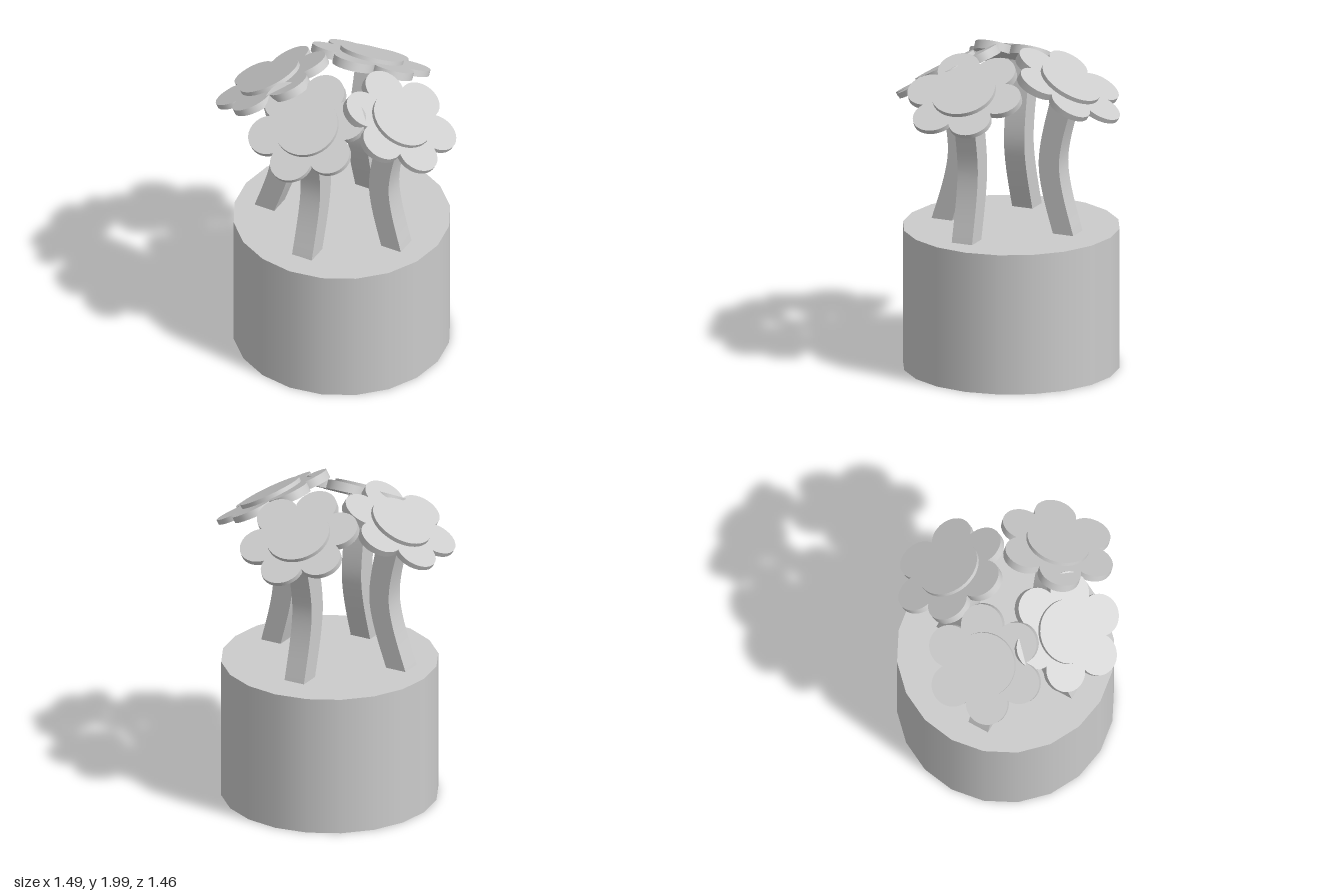
import * as THREE from 'three';
import { toCreasedNormals } from 'three/addons/utils/BufferGeometryUtils.js';

const material = new THREE.MeshStandardMaterial({ color: 0xcccccc });
const STEM_WIDTH = 0.135;
const TILT = THREE.MathUtils.degToRad(29.5);

function addMesh(parent, name, geometry) {
  const mesh = new THREE.Mesh(geometry, material);
  mesh.name = name;
  parent.add(mesh);
  return mesh;
}

// Square stem bowed towards the middle; x is the distance from the pot's axis
function stemGeometry(bottom, middle, top) {
  const h = STEM_WIDTH / 2;
  const side = (offset, endY) => [
    new THREE.Vector2(bottom + offset, 0.86),
    new THREE.Vector2(middle + offset, 1.31),
    new THREE.Vector2(top + offset, endY),
  ];
  const shape = new THREE.Shape();
  const outer = side(h, 1.75);
  const inner = side(-h, 1.81).reverse();
  shape.moveTo(outer[0].x, outer[0].y);
  shape.splineThru(outer.slice(1));
  shape.lineTo(inner[0].x, inner[0].y);
  shape.splineThru(inner.slice(1));
  const geometry = new THREE.ExtrudeGeometry(shape, {
    depth: STEM_WIDTH, bevelEnabled: false, curveSegments: 8,
  });
  geometry.translate(0, 0, -h);
  return toCreasedNormals(geometry, 0.6);
}

// Round petal, top at y = 0, a little thicker towards the middle of the plant
function petalGeometry(angle) {
  const geometry = new THREE.CylinderGeometry(0.13, 0.13, 0.04, 32);
  geometry.translate(0.238 * Math.cos(angle), -0.02, 0.238 * Math.sin(angle));
  const p = geometry.attributes.position;
  for (let i = 0; i < p.count; i++) {
    if (p.getY(i) < -0.02) p.setY(i, -0.042 + 0.04 * p.getX(i));
  }
  return geometry;
}

// Flower head: six petals around a raised disc
function createHead(petalTurn) {
  const head = new THREE.Group();
  head.name = 'flowerHead';
  for (let i = 0; i < 6; i++) {
    addMesh(head, 'petal', petalGeometry(petalTurn + (i * Math.PI) / 3));
  }
  const disc = new THREE.CylinderGeometry(0.197, 0.197, 0.058, 40);
  addMesh(head, 'flowerCentre', disc).position.y = -0.003;
  return head;
}

// One flower growing outwards along local +x
function createFlower({ name, turn, x, z, stem, reach, petalTurn }) {
  const flower = new THREE.Group();
  flower.name = name;
  addMesh(flower, 'stem', stemGeometry(...stem));
  const head = createHead(petalTurn);
  head.position.set(reach, 1.812, 0);
  head.rotation.z = -TILT;
  flower.add(head);
  flower.rotation.y = turn;
  flower.position.set(x, 0, z);
  return flower;
}

export function createModel() {
  const model = new THREE.Group();
  model.name = 'flowerPot';

  // Pot
  const pot = new THREE.CylinderGeometry(0.66, 0.66, 0.877, 20);
  addMesh(model, 'pot', pot).position.set(-0.01, 0.4385, -0.03);

  // Four flowers, one on each side
  const flowers = [
    { name: 'frontFlower', turn: -Math.PI / 2, x: -0.013, z: 0, stem: [0.408, 0.295, 0.375], reach: 0.405, petalTurn: 0 },
    { name: 'backFlower', turn: Math.PI / 2, x: -0.016, z: 0, stem: [0.407, 0.308, 0.41], reach: 0.417, petalTurn: 0 },
    { name: 'leftFlower', turn: 0, x: 0, z: 0.07, stem: [0.423, 0.335, 0.425], reach: 0.455, petalTurn: Math.PI / 6 },
    { name: 'rightFlower', turn: Math.PI, x: 0, z: 0.07, stem: [0.457, 0.335, 0.42], reach: 0.447, petalTurn: Math.PI / 6 },
  ];
  flowers.forEach((f) => model.add(createFlower(f)));
  return model;
}
